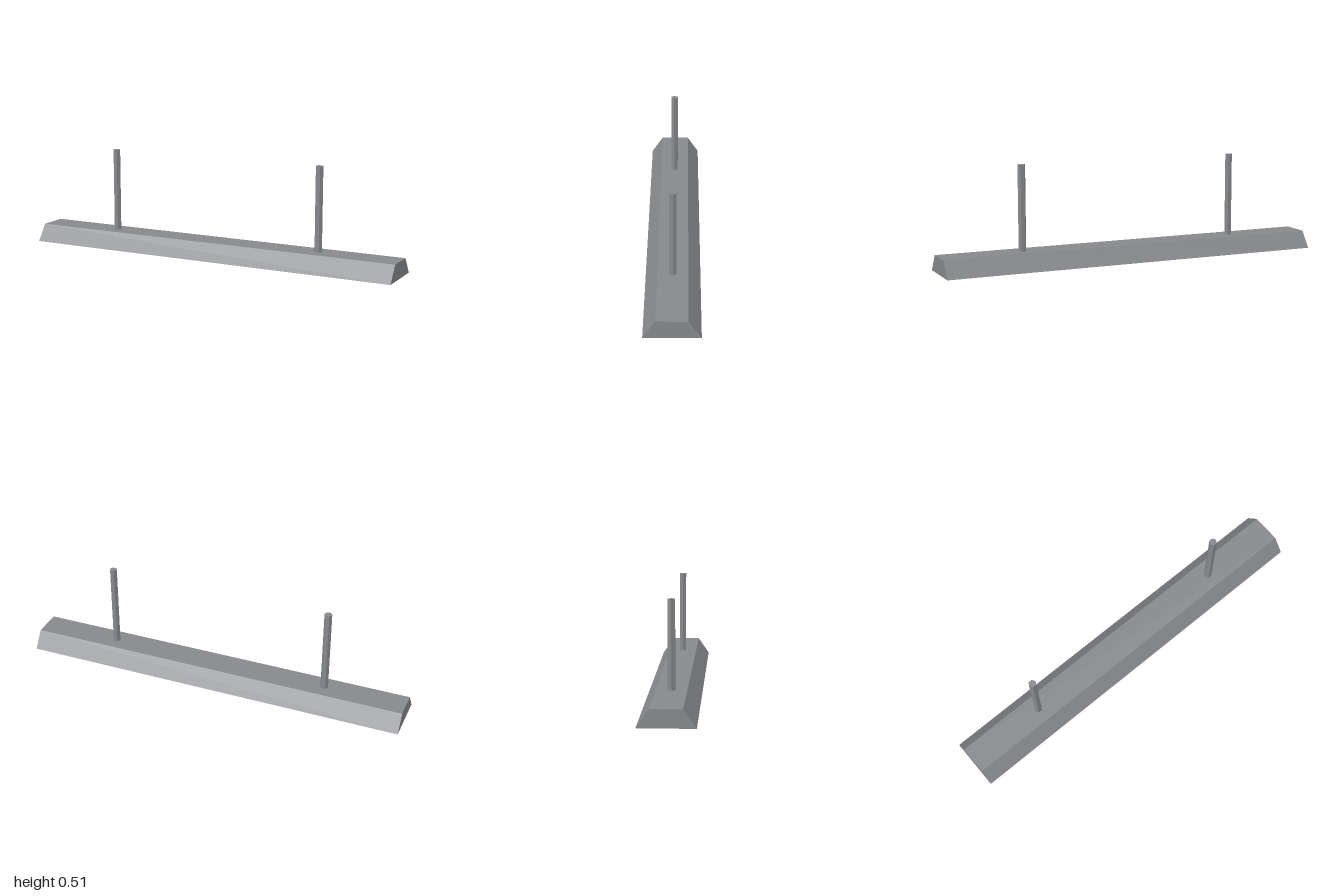
import * as THREE from 'three';

const grey = new THREE.MeshStandardMaterial({ color: 0x86888c, flatShading: true });
grey.name = 'grey metal';

// Closed solid from a chain of rectangular rings [halfX, y, halfZ], starting at the top cap
function ringSolid(rings) {
  const corners = ([x, y, z]) => [[x, y, z], [x, y, -z], [-x, y, -z], [-x, y, z]];
  const pos = [];
  const quad = (a, b, c, d) => pos.push(...a, ...b, ...c, ...a, ...c, ...d);
  quad(...corners(rings[0]));
  for (let r = 0; r < rings.length - 1; r++) {
    const a = corners(rings[r]), b = corners(rings[r + 1]);
    for (let i = 0; i < 4; i++) {
      const j = (i + 1) % 4;
      quad(a[i], b[i], b[j], a[j]);
    }
  }
  quad(...corners(rings[rings.length - 1]).reverse());
  const geo = new THREE.BufferGeometry();
  geo.setAttribute('position', new THREE.Float32BufferAttribute(pos, 3));
  geo.computeVertexNormals();
  return geo;
}

export function createModel() {
  const model = new THREE.Group();
  model.name = 'hangingLamp';

  // Trapezoid housing with a shallow recess underneath
  const housing = new THREE.Mesh(ringSolid([
    [1, 0.085, 0.074],
    [1, 0, 0.133],
    [0.969, 0, 0.102],
    [0.969, 0.02, 0.102],
  ]), grey);
  housing.name = 'housing';
  model.add(housing);

  // Hexagonal hanging rods
  const bottom = 0.084, top = 0.513;
  const rodGeo = new THREE.CylinderGeometry(0.0197, 0.0197, top - bottom, 6);
  rodGeo.rotateY(Math.PI / 6);
  for (const [side, name] of [[1, 'leftRod'], [-1, 'rightRod']]) {
    const rod = new THREE.Mesh(rodGeo, grey);
    rod.name = name;
    rod.position.set(side * 0.578, (bottom + top) / 2, 0);
    model.add(rod);
  }
  return model;
}
